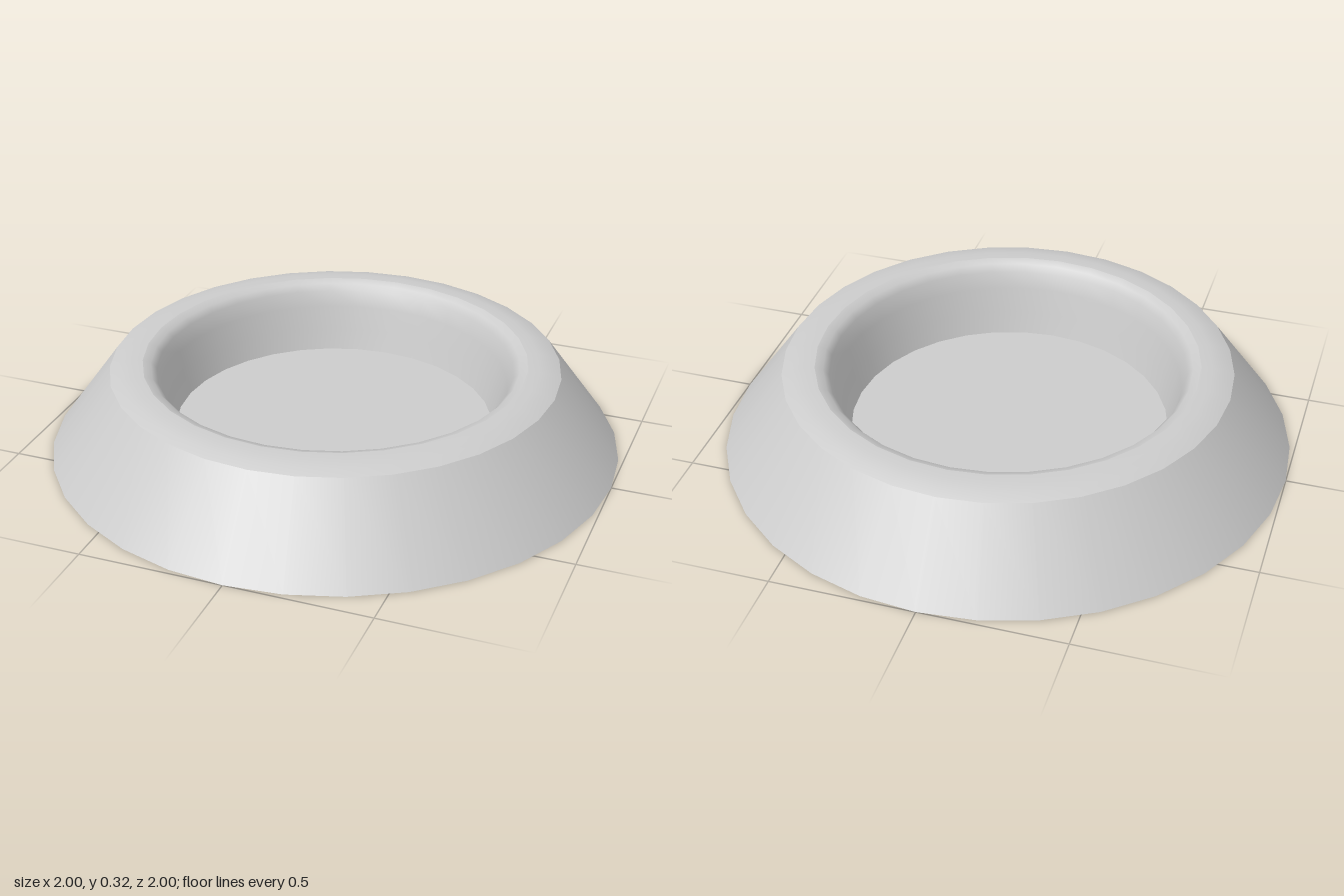
import * as THREE from 'three';

const SIDES = 32;
const FLOOR_Y = 0.066;
const RIM_Y = 0.32;
const OFFSET = { x: -0.01, z: -0.014 }; // the bowl floor sits slightly off centre

const material = new THREE.MeshStandardMaterial({ color: 0xcccccc, side: THREE.DoubleSide });

// Revolved thin shell from [radius, height] pairs
function shell(name, profile) {
  const points = profile.map(([r, y]) => new THREE.Vector2(r, y));
  const mesh = new THREE.Mesh(new THREE.LatheGeometry(points, SIDES), material);
  mesh.name = name;
  return mesh;
}

// Shifts lower vertices sideways towards the off-centre floor
function leanToFloor(geometry) {
  const p = geometry.attributes.position;
  for (let i = 0; i < p.count; i++) {
    const t = (RIM_Y - p.getY(i)) / (RIM_Y - FLOOR_Y);
    p.setX(i, p.getX(i) + OFFSET.x * t);
    p.setZ(i, p.getZ(i) + OFFSET.z * t);
  }
}

export function createModel() {
  const group = new THREE.Group();
  group.name = 'dish';

  // Sloping outer skirt, open underneath
  group.add(shell('outerSkirt', [[1, 0], [0.785, 0.297]]));

  // Rounded shoulder and flat top
  group.add(shell('rim', [[0.785, 0.297], [0.75, 0.311], [0.71, 0.319], [0.67, RIM_Y]]));

  // Rolled inner lip and steep bowl wall
  const wall = shell('bowlWall', [
    [0.67, RIM_Y], [0.642, 0.31], [0.622, 0.288], [0.604, 0.23], [0.582, 0.145], [0.56, FLOOR_Y],
  ]);
  leanToFloor(wall.geometry);
  group.add(wall);

  // Flat bowl floor
  const disc = new THREE.CircleGeometry(0.56, SIDES).rotateX(-Math.PI / 2);
  const floor = new THREE.Mesh(disc, material);
  floor.name = 'bowlFloor';
  floor.position.set(OFFSET.x, FLOOR_Y, OFFSET.z);
  group.add(floor);

  return group;
}
